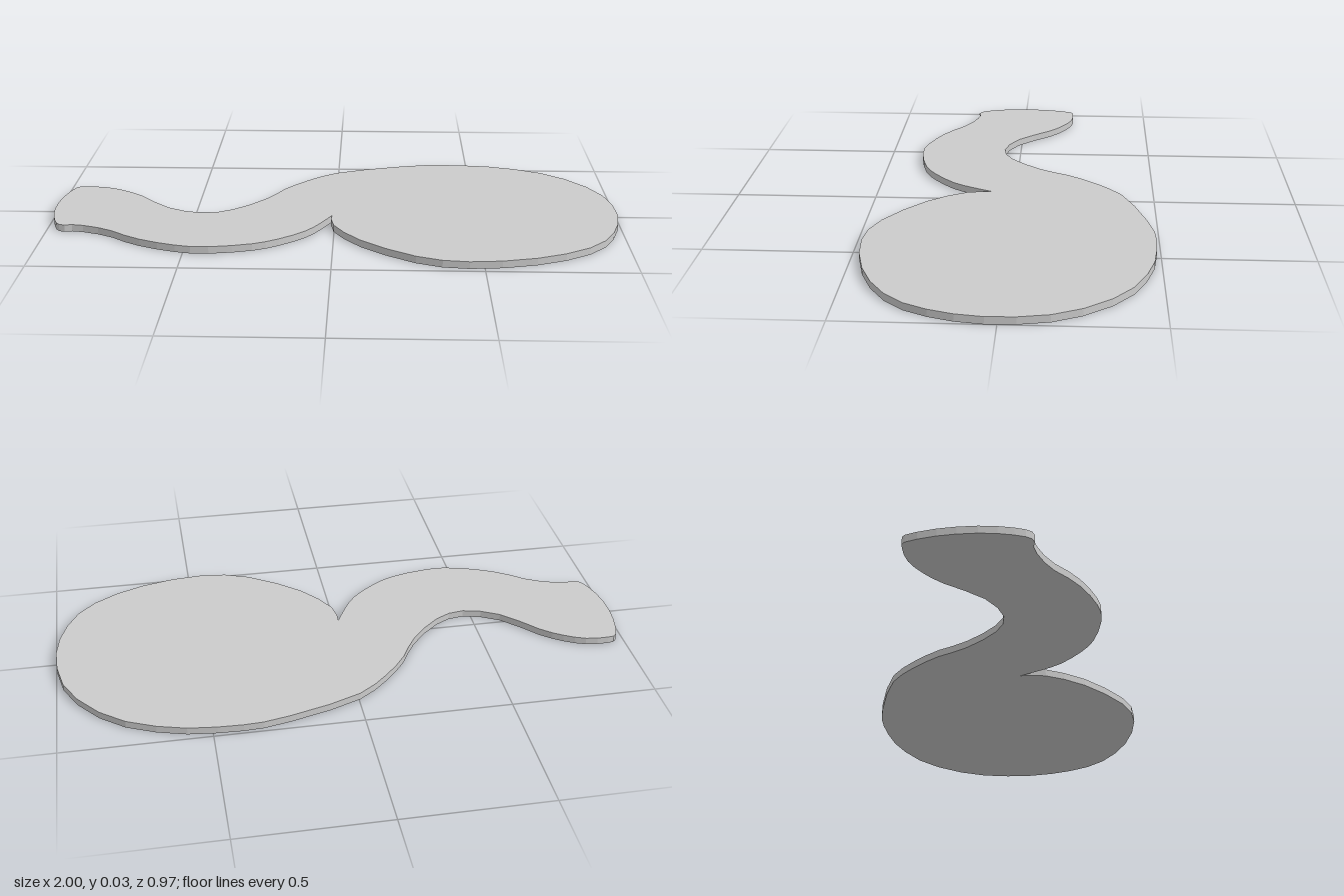
import * as THREE from 'three';

const THICKNESS = 0.025;

// Outline as [x, z], from the notch round the disc, along the wavy tail and back.
const OUTLINE = [
  [0, 0.17], [0.1, 0.31], [0.29, 0.445], [0.47, 0.48], [0.7, 0.435], [0.88, 0.33],
  [0.97, 0.18], [1, 0], [0.96, -0.2], [0.82, -0.375], [0.625, -0.465], [0.43, -0.488],
  [0.28, -0.475], [0.02, -0.395], [-0.1, -0.305], [-0.19, -0.2], [-0.25, -0.095],
  [-0.36, 0.02], [-0.47, 0.06], [-0.6, 0.01], [-0.715, -0.11], [-0.79, -0.165],
  [-0.865, -0.197], [-0.945, -0.2], [-0.975, -0.18], [-1, -0.07], [-1, 0.055],
  [-0.975, 0.155], [-0.945, 0.193], [-0.89, 0.19], [-0.78, 0.23], [-0.675, 0.305],
  [-0.545, 0.36], [-0.43, 0.378], [-0.28, 0.35], [-0.19, 0.305], [-0.1, 0.23], [-0.05, 0.155],
];
const NOTCH = [-0.01, 0.075];

export function createModel() {
  const group = new THREE.Group();
  group.name = 'curvedPlate';

  // One smooth curve that starts and ends in the sharp notch
  const shape = new THREE.Shape();
  shape.moveTo(NOTCH[0], -NOTCH[1]);
  shape.splineThru([...OUTLINE, NOTCH].map(([x, z]) => new THREE.Vector2(x, -z)));

  // Thin flat plate, laid down on the ground
  const geometry = new THREE.ExtrudeGeometry(shape, {
    depth: THICKNESS, bevelEnabled: false, curveSegments: 2,
  });
  geometry.rotateX(-Math.PI / 2);

  const plate = new THREE.Mesh(geometry, new THREE.MeshStandardMaterial({ color: 0xcccccc }));
  plate.name = 'discWithTail';
  group.add(plate);
  return group;
}
